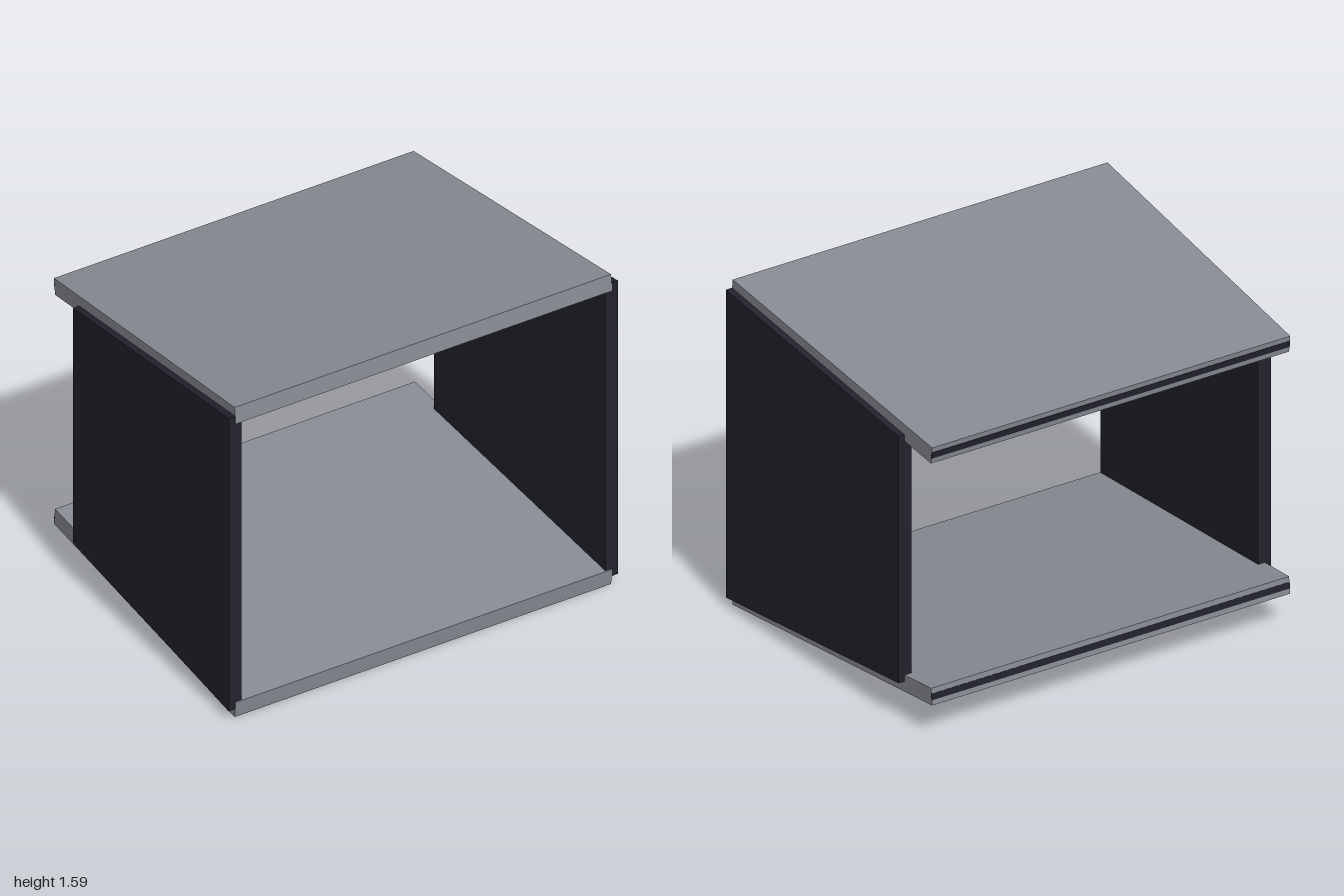
import * as THREE from 'three';

// Box whose front and back ends each get their own x and y range:
// end = { x: [min, max], y: [min, max], z: [at bottom, at top] }
function taperedBox(front, back) {
  const geo = new THREE.BoxGeometry(1, 1, 1);
  const p = geo.attributes.position;
  for (let i = 0; i < p.count; i++) {
    const end = p.getZ(i) > 0 ? front : back;
    const ix = p.getX(i) > 0 ? 1 : 0;
    const iy = p.getY(i) > 0 ? 1 : 0;
    p.setXYZ(i, end.x[ix], end.y[iy], end.z[iy]);
  }
  geo.computeVertexNormals();
  return geo;
}

export function createModel() {
  const group = new THREE.Group();
  const grey = new THREE.MeshStandardMaterial({ color: 0x888b93 });
  grey.name = 'grey panel';
  const navy = new THREE.MeshStandardMaterial({ color: 0x22222d });
  navy.name = 'dark navy';

  const add = (name, geo, material) => {
    const mesh = new THREE.Mesh(geo, material);
    mesh.name = name;
    group.add(mesh);
  };

  const mid = 0.795; // height of the horizontal symmetry plane
  // Mirrors an end description from the top panel to the bottom one
  const flip = (e) => ({
    x: e.x,
    y: [2 * mid - e.y[1], 2 * mid - e.y[0]],
    z: [e.z[1], e.z[0]],
  });

  // Sloping top and bottom panels, narrowing towards the back
  const panelFront = { x: [-0.967, 0.967], y: [1.51, 1.59], z: [0.752, 0.743] };
  const panelBack = { x: [-0.924, 0.924], y: [1.345, 1.425], z: [-0.743, -0.752] };
  add('topPanel', taperedBox(panelFront, panelBack), grey);
  add('bottomPanel', taperedBox(flip(panelFront), flip(panelBack)), grey);

  // Dark strips inlaid along the back edges of the panels
  const stripFront = { x: [-0.9242, 0.9242], y: [1.371, 1.401], z: [-0.743, -0.746] };
  const stripBack = { x: [-0.924, 0.924], y: [1.37, 1.4], z: [-0.7475, -0.751] };
  add('topBackStrip', taperedBox(stripFront, stripBack), navy);
  add('bottomBackStrip', taperedBox(flip(stripFront), flip(stripBack)), navy);

  // Side walls, toed in and lapped into half the panel thickness
  for (const [name, s] of [['leftWall', 1], ['rightWall', -1]]) {
    const range = (a, b) => (s > 0 ? [a, b] : [-b, -a]);
    add(name, taperedBox(
      { x: range(0.935, 1.0), y: [0.043, 1.548], z: [0.7475, 0.7475] },
      { x: range(0.895, 0.961), y: [0.192, 1.398], z: [-0.545, -0.545] },
    ), navy);
  }
  return group;
}
